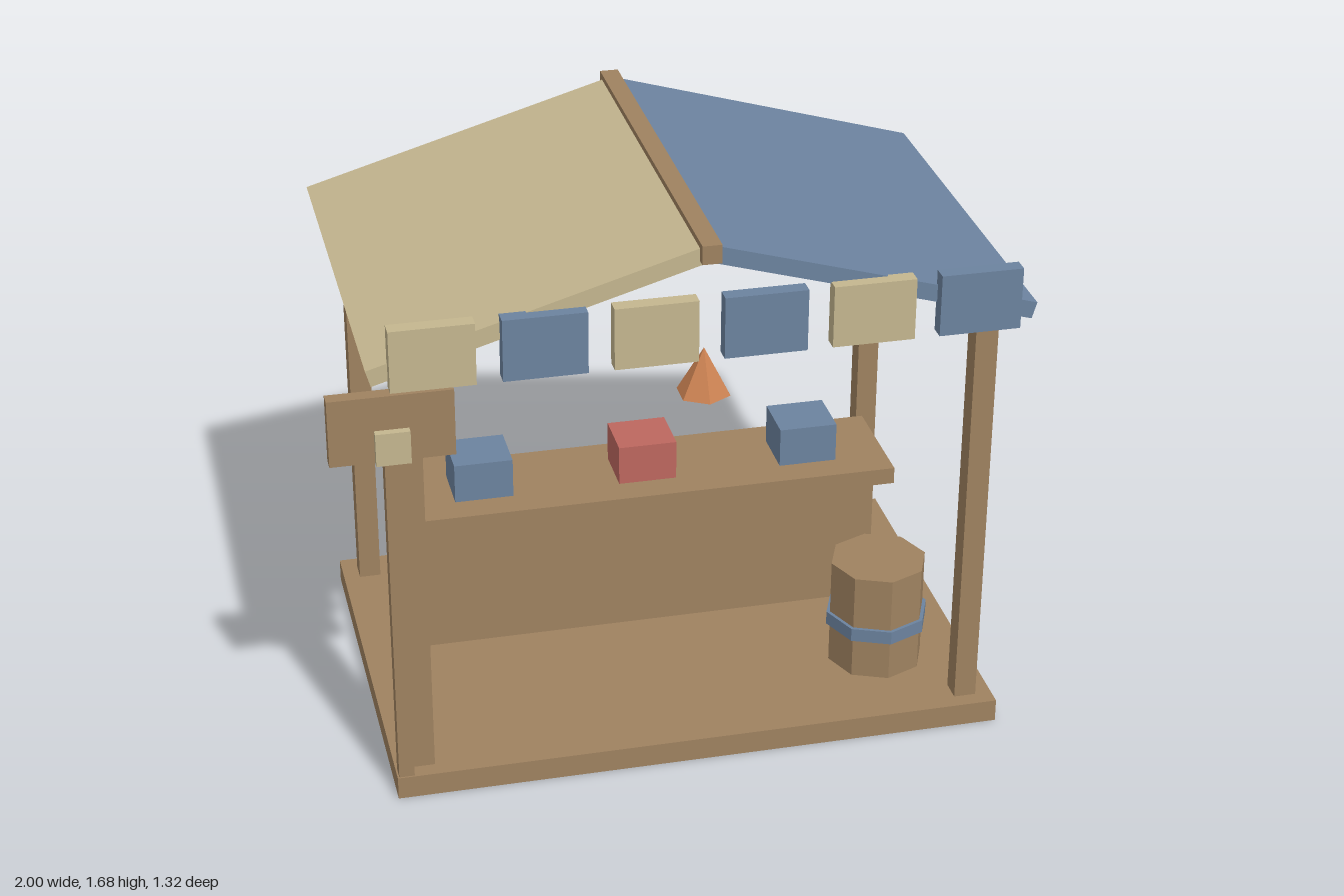
import * as THREE from 'three';

const material = (name, color) => {
  const m = new THREE.MeshStandardMaterial({ color });
  m.name = name;
  return m;
};

export function createModel() {
  const stall = new THREE.Group();
  stall.name = 'marketStall';
  const wood = material('wood', 0x9f8260);
  const blue = material('blueCloth', 0x6c839f);
  const cream = material('creamCloth', 0xc4b68f);
  const red = material('red', 0xbd675f);
  const orange = material('orange', 0xcb8252);
  const CX = 0.053; // centre line of the stall

  const add = (name, geometry, mat, parent = stall) => {
    const mesh = new THREE.Mesh(geometry, mat);
    mesh.name = name;
    parent.add(mesh);
    return mesh;
  };
  // box given by its limits on each axis
  const box = (name, mat, [x0, x1], [y0, y1], [z0, z1], parent) => {
    const mesh = add(name, new THREE.BoxGeometry(x1 - x0, y1 - y0, z1 - z0), mat, parent);
    mesh.position.set((x0 + x1) / 2, (y0 + y1) / 2, (z0 + z1) / 2);
    return mesh;
  };
  const around = (c, w) => [c - w / 2, c + w / 2];
  const group = (name) => {
    const g = new THREE.Group();
    g.name = name;
    stall.add(g);
    return g;
  };
  // faceted upright solid
  const prism = (name, mat, rTop, rBottom, sides, [y0, y1], x, z, parent) => {
    const g = new THREE.CylinderGeometry(rTop, rBottom, y1 - y0, sides).toNonIndexed();
    g.computeVertexNormals();
    const mesh = add(name, g, mat, parent);
    mesh.position.set(x, (y0 + y1) / 2, z);
  };

  // floor and corner posts
  box('floor', wood, [-0.855, 0.957], [0, 0.07], [-0.62, 0.625]);
  for (const x of [-0.772, 0.874])
    for (const z of [-0.537, 0.544])
      box('post', wood, around(x, 0.066), [0.07, 1.317], around(z, 0.066));

  // sloping roof panels, hinged at the ridge
  const roof = group('roof');
  for (const side of [-1, 1]) {
    const g = new THREE.BoxGeometry(0.984, 0.05, 1.245);
    g.translate(side * 0.492, -0.025, 0.0025);
    const panel = add(side < 0 ? 'rightRoof' : 'leftRoof', g, side < 0 ? cream : blue, roof);
    panel.position.set(CX, 1.67, 0);
    panel.rotation.z = -side * 0.283;
  }
  box('ridgeBeam', wood, around(CX, 0.055), [1.625, 1.68], [-0.647, 0.653], roof);

  // hanging flags along the front
  const flags = group('flags');
  for (let i = 0; i < 6; i++)
    box('flag', i % 2 ? blue : cream, around(CX + (i - 2.5) * 0.307, 0.235), [1.34, 1.523], [0.616, 0.661], flags);

  // lantern
  prism('lantern', orange, 0, 0.078, 6, [1.197, 1.335], CX, 0.572);

  // signpost
  const sign = group('signpost');
  box('signPole', wood, [-0.85, -0.805], [0.07, 1.11], [0.575, 0.62], sign);
  box('signBoard', wood, [-1, -0.652], [1.11, 1.31], [0.575, 0.617], sign);
  box('signPlaque', cream, [-0.875, -0.778], [1.11, 1.208], [0.6, 0.64], sign);

  // counter with goods
  const counter = group('counter');
  box('counterBody', wood, [-0.66, 0.762], [0.07, 0.482], [-0.338, -0.053], counter);
  box('counterTop', wood, [-0.712, 0.818], [0.482, 0.535], [-0.37, -0.018], counter);
  [blue, red, blue].forEach((mat, i) =>
    box('goodsBox', mat, around(CX + (i - 1) * 0.511, 0.18), [0.535, 0.66], around(-0.194, 0.166), counter));

  // barrel with hoop
  const barrel = group('barrel');
  prism('barrelBody', wood, 0.147, 0.147, 8, [0.07, 0.41], 0.677, 0.29, barrel);
  prism('barrelHoop', blue, 0.158, 0.158, 8, [0.198, 0.24], 0.677, 0.29, barrel);

  // crates behind the counter
  box('crate', wood, [0.53, 0.766], [0.07, 0.307], [-0.628, -0.388]);
  const chest = group('chest');
  box('chestBody', wood, [-0.652, -0.374], [0.07, 0.357], [-0.647, -0.367], chest);
  box('chestLid', wood, [-0.665, -0.36], [0.357, 0.4], [-0.661, -0.357], chest);

  return stall;
}
